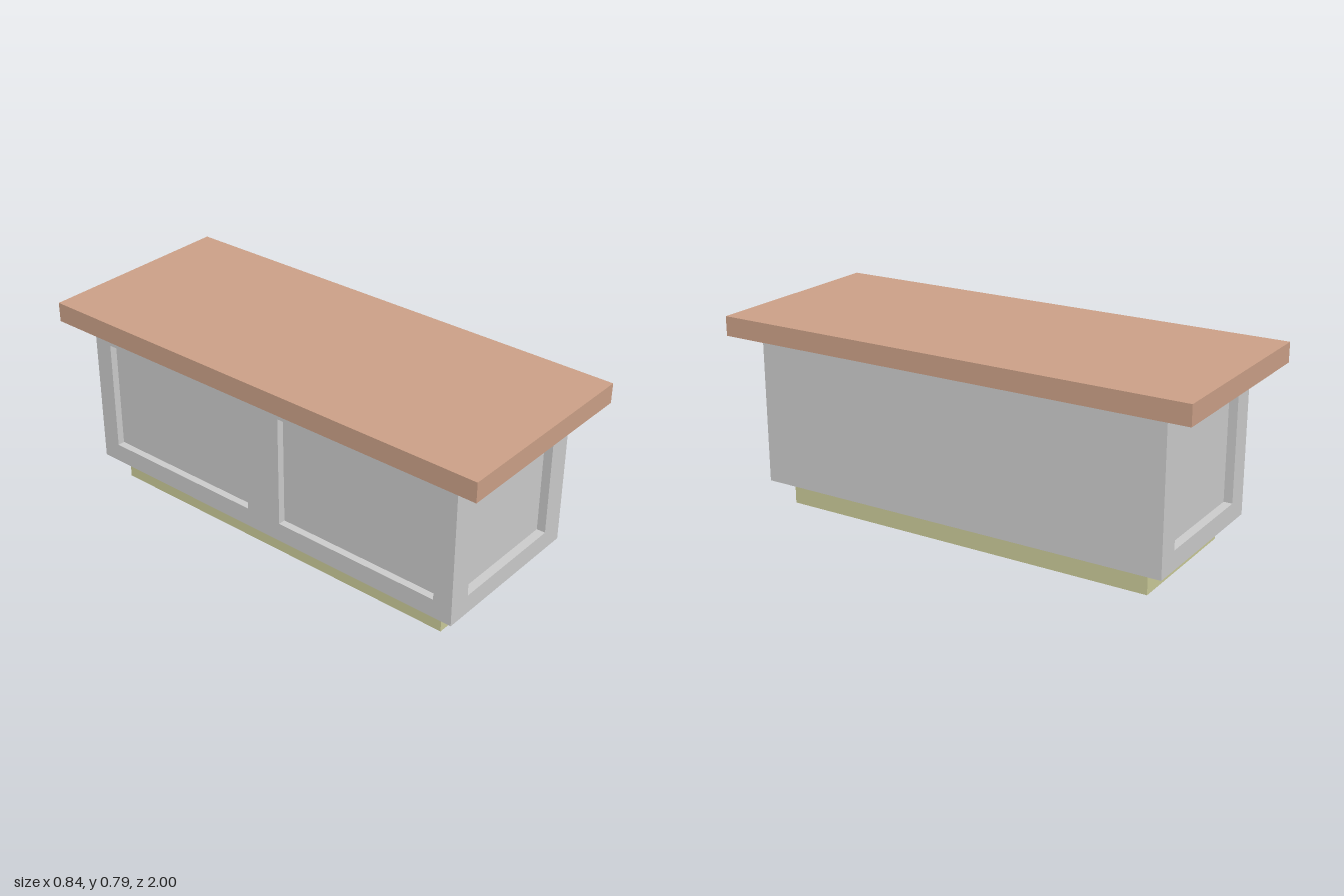
import * as THREE from 'three';

const material = (name, color) => {
  const m = new THREE.MeshStandardMaterial({ color });
  m.name = name;
  return m;
};

export function createModel() {
  const model = new THREE.Group();
  model.name = 'kitchenIsland';
  const wood = material('warm wood', 0xcba087);
  const grey = material('light grey', 0xcbcbcb);
  const olive = material('pale olive', 0xcaca98);

  const add = (name, geometry, mat, x, y, z) => {
    const mesh = new THREE.Mesh(geometry, mat);
    mesh.name = name;
    mesh.position.set(x, y, z);
    model.add(mesh);
    return mesh;
  };

  const rect = (Type, x0, x1, y0, y1) => new Type([
    new THREE.Vector2(x0, y0), new THREE.Vector2(x1, y0),
    new THREE.Vector2(x1, y1), new THREE.Vector2(x0, y1),
  ]);

  // Cabinet extents, and depth of the recesses on the ends and the panelled side
  const X = 0.347, Z = 0.88, Y0 = 0.1, Y1 = 0.71;
  const endDepth = 0.036, sideDepth = 0.03;
  const innerX = -X + sideDepth;

  // Flat frame with rectangular openings, given as [from, to]
  const frame = (x0, x1, openings, depth) => {
    const shape = rect(THREE.Shape, x0, x1, Y0, Y1);
    for (const [a, b] of openings) shape.holes.push(rect(THREE.Path, a, b, 0.178, 0.638));
    return new THREE.ExtrudeGeometry(shape, { depth, bevelEnabled: false });
  };

  // Countertop and recessed plinth
  add('countertop', new THREE.BoxGeometry(0.84, 0.08, 2), wood, 0, 0.75, 0);
  add('plinth', new THREE.BoxGeometry(0.58, 0.1, 1.6), olive, 0, 0.05, 0);

  // Cabinet core, whose faces form the recessed panels
  add('cabinetCore', new THREE.BoxGeometry(X - innerX, Y1 - Y0, 2 * (Z - endDepth)), grey,
    (X + innerX) / 2, (Y0 + Y1) / 2, 0);

  // One opening on each end
  const endFrame = frame(innerX, X, [[-0.25, 0.25]], endDepth);
  add('frontFrame', endFrame, grey, 0, 0, Z - endDepth);
  add('backFrame', endFrame, grey, 0, 0, -Z);

  // Two openings on the -x side; the other side is plain
  const sideFrame = frame(-Z, Z, [[-0.8, -0.08], [0.08, 0.8]], sideDepth);
  add('sideFrame', sideFrame, grey, innerX, 0, 0).rotation.y = -Math.PI / 2;

  return model;
}
